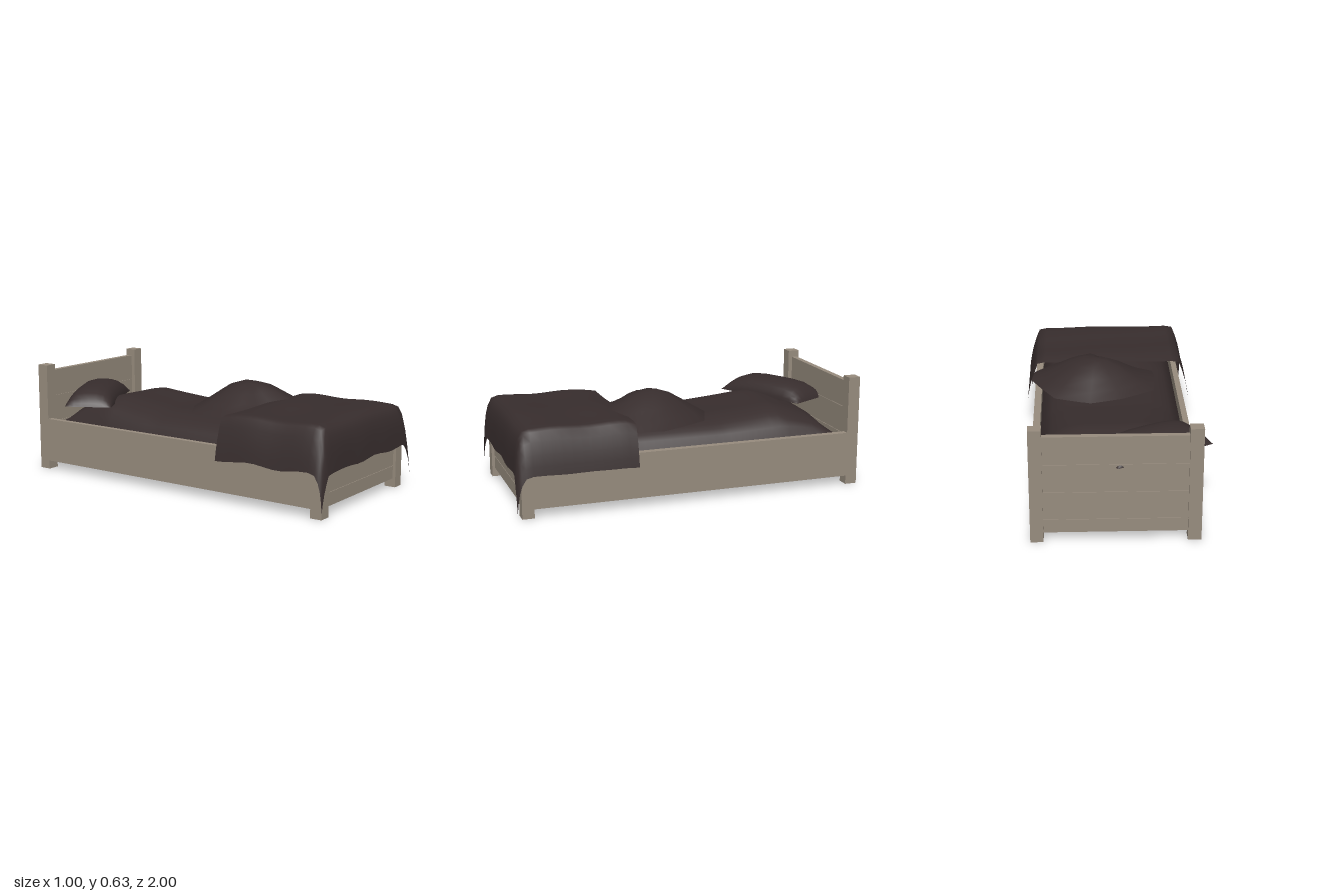
import * as THREE from 'three';

const wood = new THREE.MeshStandardMaterial({ color: 0x978c7e });
wood.name = 'weathered wood';
const cloth = new THREE.MeshStandardMaterial({ color: 0x372d2d, side: THREE.DoubleSide });
cloth.name = 'dark cloth';

const CX = 0.012; // middle of the frame
const range = (a, b, n) => Array.from({ length: n + 1 }, (_, i) => a + (b - a) * i / n);

// Linear interpolation through [position, value] points
function along(points, t) {
  if (t <= points[0][0]) return points[0][1];
  for (let i = 1; i < points.length; i++) {
    const [a, va] = points[i - 1], [b, vb] = points[i];
    if (t <= b) return va + (vb - va) * (t - a) / (b - a);
  }
  return points[points.length - 1][1];
}

function add(parent, name, geometry, material) {
  const mesh = new THREE.Mesh(geometry, material);
  mesh.name = name;
  parent.add(mesh);
  return mesh;
}

// Box given by its limits on each axis
function board(parent, name, x0, x1, y0, y1, z0, z1) {
  const mesh = add(parent, name, new THREE.BoxGeometry(x1 - x0, y1 - y0, z1 - z0), wood);
  mesh.position.set((x0 + x1) / 2, (y0 + y1) / 2, (z0 + z1) / 2);
}

// Cloth sheet over a grid of x and z lines; rule moves each point
function drape(xs, zs, rule) {
  const nx = xs.length, nz = zs.length;
  const geometry = new THREE.PlaneGeometry(1, 1, nx - 1, nz - 1);
  const pos = geometry.attributes.position;
  for (let j = 0; j < nz; j++) {
    for (let i = 0; i < nx; i++) pos.setXYZ(j * nx + i, ...rule(xs[i], zs[j]));
  }
  geometry.computeVertexNormals();
  return geometry;
}

// Planks with narrow grooves, backed by a thin core
function plankPanel(parent, name, edges, z0, z1) {
  const panel = new THREE.Group();
  panel.name = name;
  parent.add(panel);
  const gap = 0.002;
  for (let i = 0; i < edges.length - 1; i++) {
    const last = i === edges.length - 2;
    board(panel, 'plank', -0.358, 0.385, edges[i] + (i ? gap : 0), edges[i + 1] - (last ? 0 : gap), z0, z1);
  }
  board(panel, 'panelCore', -0.358, 0.385, edges[0] + 0.005, edges[edges.length - 1] - 0.005, z0 + 0.004, z1 - 0.004);
}

function makeFrame() {
  const frame = new THREE.Group();
  frame.name = 'bedFrame';
  for (const [x0, x1] of [[-0.428, -0.358], [0.385, 0.453]]) {
    board(frame, 'headPost', x0, x1, 0, 0.627, -0.994, -0.926);
    board(frame, 'footPost', x0, x1, 0, 0.32, 0.9, 0.967);
  }
  board(frame, 'rightRail', -0.428, -0.395, 0.05, 0.305, -0.926, 0.9);
  board(frame, 'leftRail', 0.413, 0.453, 0.05, 0.305, -0.926, 0.9);
  plankPanel(frame, 'headboard', [0.05, 0.125, 0.28, 0.435, 0.588], -0.982, -0.95);
  plankPanel(frame, 'footboard', [0.05, 0.125, 0.28, 0.35], 0.915, 0.95);
  return frame;
}

// Mattress cover, sloping down to the rails
function makeSheet() {
  const ridge = [[-0.95, 0.25], [-0.87, 0.305], [-0.8, 0.375], [-0.68, 0.42], [-0.56, 0.452],
    [-0.4, 0.435], [-0.2, 0.417], [0.3, 0.42], [0.45, 0.43], [0.8, 0.42], [0.91, 0.27]];
  const half = 0.398;
  return drape(range(-half, half, 24), range(-0.95, 0.91, 37), (x, z) => {
    const edge = Math.min(1, (half - Math.abs(x)) / 0.27);
    const top = along(ridge, z);
    const low = Math.min(0.27, top);
    const y = low + (top - low) * Math.sqrt(1 - (1 - edge) ** 2);
    return [x + CX, y + 0.003 * edge * Math.sin(9 * x + 5 * z), z];
  });
}

// Folded blanket: side drop and front drop add up, so the corners hang lowest
function makeFoldedBlanket() {
  const half = 0.487;
  const sideDrop = [[0, 0], [0.38, 0], [0.425, 0.01], [0.445, 0.06], [0.465, 0.125], [0.478, 0.185], [half, 0.238]];
  const frontDrop = [[0.33, 0.008], [0.38, 0.002], [0.42, 0], [0.91, 0], [0.947, 0.01], [0.97, 0.05],
    [0.984, 0.1], [0.993, 0.16], [1, 0.23]];
  const sides = sideDrop.slice(2).map(p => p[0]);
  const xs = [...sides.map(x => -x).reverse(), ...range(-0.38, 0.38, 12), ...sides];
  const zs = [0.33, 0.38, ...range(0.42, 0.91, 9), 0.947, 0.97, 0.984, 0.993, 1];
  return drape(xs, zs, (x, z) => {
    const dx = along(sideDrop, Math.abs(x)), dz = along(frontDrop, z);
    const wave = 0.004 * Math.sin(17 * z + 2 * x) + 0.003 * Math.sin(11 * x + 1);
    const hem = 0.02 * (dx + dz) * Math.sin(19 * (x + z));
    return [x + CX, 0.479 - dx - dz + 0.7 * dx * dz + wave + hem, z - 0.01 * (1 + Math.sin(23 * x)) * dz];
  });
}

// Crumpled heap of cloth: one outline shrunk upward to a peak, fuller to the left and back
function makeHeap() {
  const outline = [[0.13, -0.18], [0.33, -0.1], [0.41, 0.05], [0.47, 0.18], [0.45, 0.31], [0.33, 0.44],
    [0.17, 0.58], [0.02, 0.44], [-0.12, 0.38], [-0.25, 0.3], [-0.26, 0.18], [-0.24, 0], [-0.05, -0.12]];
  const rings = [[1, 0.417], [0.8, 0.44], [0.6, 0.474], [0.4, 0.515], [0.2, 0.546], [0, 0.56]];
  const n = outline.length, points = [], faces = [];
  const px = 0.09, pz = 0.17;
  rings.forEach(([s, y], r) => outline.forEach(([x, z], i) => {
    const bulge = 0.025 * Math.max(0, x - px) / 0.38 + 0.025 * Math.max(0, pz - z) / 0.35;
    points.push(px + (x - px) * s, y + 4 * s * (1 - s) * bulge, pz + (z - pz) * s);
    if (r === rings.length - 1) return;
    const a = r * n + i, b = r * n + (i + 1) % n;
    faces.push(a, a + n, b, b, a + n, b + n);
  }));
  const geometry = new THREE.BufferGeometry();
  geometry.setAttribute('position', new THREE.Float32BufferAttribute(points, 3));
  geometry.setIndex(faces);
  geometry.computeVertexNormals();
  return geometry;
}

// Pillow: domed top over a flat base, lying askew
function makePillow() {
  const pillow = new THREE.Group();
  pillow.name = 'pillow';
  const L = 0.29, W = 0.137;
  const steps = [-1, -0.97, -0.9, -0.78, -0.6, -0.3, 0, 0.3, 0.6, 0.78, 0.9, 0.97, 1];
  const top = drape(steps, steps, (a, b) => {
    const h = 0.1 * (1 - Math.abs(a) ** 4) ** 0.75 * (1 - Math.abs(b) ** 3) ** 0.6;
    return [a * L, h, b * W];
  });
  add(pillow, 'pillowTop', top, cloth);
  add(pillow, 'pillowBase', new THREE.PlaneGeometry(2 * L, 2 * W).rotateX(Math.PI / 2), cloth);
  pillow.position.set(-0.185, 0.415, -0.74);
  pillow.rotation.y = 0.5;
  return pillow;
}

export function createModel() {
  const bed = new THREE.Group();
  bed.name = 'bed';
  bed.add(makeFrame());
  add(bed, 'mattressSheet', makeSheet(), cloth);
  add(bed, 'foldedBlanket', makeFoldedBlanket(), cloth);
  add(bed, 'crumpledHeap', makeHeap(), cloth);
  bed.add(makePillow());
  return bed;
}
